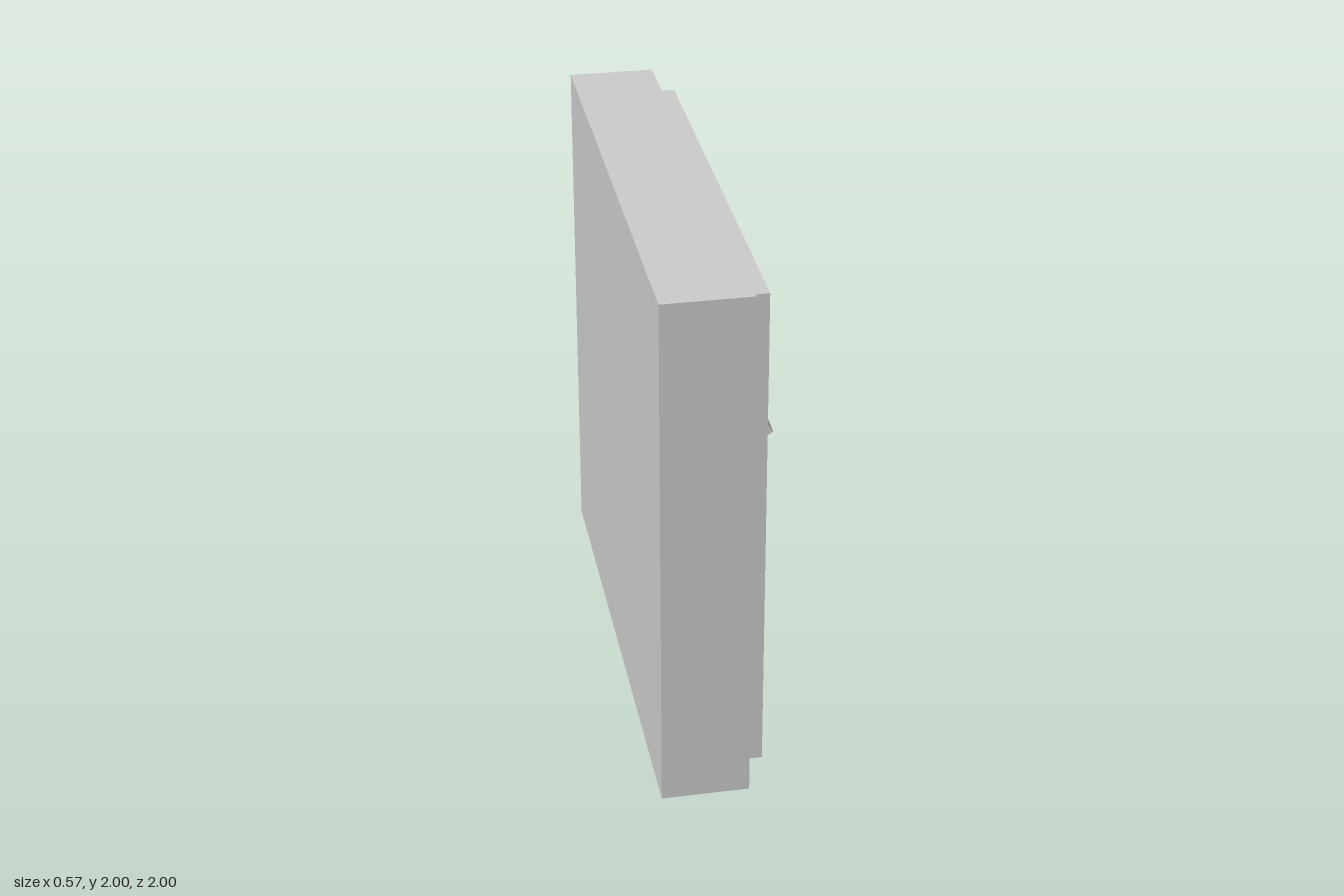
import * as THREE from 'three';

const material = new THREE.MeshStandardMaterial({ color: 0xcccccc, flatShading: true });

function addBox(group, name, size, position) {
  const mesh = new THREE.Mesh(new THREE.BoxGeometry(...size), material);
  mesh.name = name;
  mesh.position.set(...position);
  group.add(mesh);
  return mesh;
}

export function createModel() {
  const group = new THREE.Group();
  group.name = 'wallSwitch';

  // Thick square backing block
  addBox(group, 'backBlock', [0.322, 2, 2], [-0.124, 1, 0]);

  // Thin cover plate on the +x side
  addBox(group, 'coverPlate', [0.07, 1.9, 1.785], [0.071, 1.002, 0]);

  // Toggle lever tilted upward, its root sunk into the plate
  const lever = addBox(group, 'toggleLever', [0.28, 0.215, 0.39], [0.106, 1.015, 0]);
  lever.rotation.z = THREE.MathUtils.degToRad(37.4);

  return group;
}
